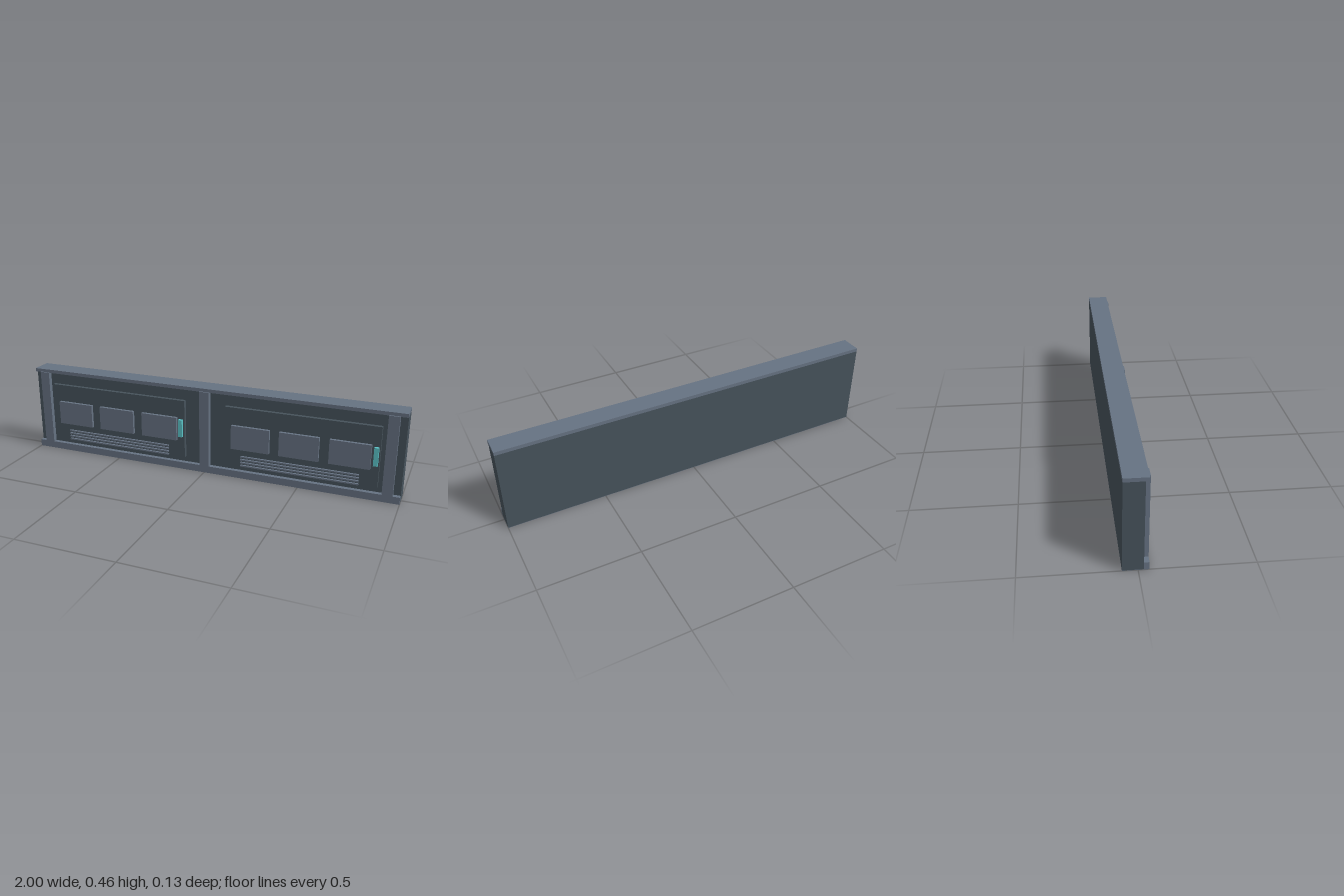
import * as THREE from 'three';

export function createModel() {
  const root = new THREE.Group();
  root.name = 'wallPanelUnit';

  const mat = (name, color) => {
    const m = new THREE.MeshStandardMaterial({ color });
    m.name = name;
    return m;
  };
  const dark = mat('darkSlate', 0x46525b);
  const light = mat('lightSlate', 0x667282);
  const teal = mat('teal', 0x5cc4c8);

  // Box given by its minimum and maximum on each axis
  const box = (parent, name, material, [x0, x1], [y0, y1], [z0, z1]) => {
    const mesh = new THREE.Mesh(new THREE.BoxGeometry(x1 - x0, y1 - y0, z1 - z0), material);
    mesh.position.set((x0 + x1) / 2, (y0 + y1) / 2, (z0 + z1) / 2);
    mesh.name = name;
    parent.add(mesh);
    return mesh;
  };

  const back = -0.067;

  // Wall slab with cap and base rail
  box(root, 'wallBody', dark, [-1, 1], [0.002, 0.437], [back, 0.024]);
  box(root, 'topCap', light, [-1, 1], [0.437, 0.455], [back, 0.04]);
  box(root, 'basePlate', light, [-1, 1], [0, 0.002], [back, 0.024]);
  box(root, 'baseRail', light, [-1, 1], [0, 0.037], [0.024, 0.047]);

  // Upright ribs on the front
  for (const x of [-0.939, 0, 0.939]) {
    box(root, 'frontRib', light, [x - 0.026, x + 0.026], [0.037, 0.439], [0.024, 0.0475]);
  }

  // Two identical equipment bays
  for (const cx of [-0.5, 0.5]) {
    const bay = new THREE.Group();
    bay.name = 'bay';
    bay.position.x = cx;
    root.add(bay);

    box(bay, 'bayPanel', dark, [-0.39, 0.39], [0.067, 0.377], [0.024, 0.044]);

    // Raised plates
    for (const x of [-0.25, 0, 0.25]) {
      box(bay, 'raisedPlate', light, [x - 0.1, x + 0.1], [0.161, 0.286], [0.044, 0.06]);
    }

    // Vent slats
    for (let i = 0; i < 4; i++) {
      const y = 0.073 + i * 0.016;
      box(bay, 'ventSlat', light, [-0.3, 0.3], [y - 0.0035, y + 0.0035], [0.044, 0.055]);
    }

    // Handle with its two short mounts
    box(bay, 'handle', teal, [0.363, 0.385], [0.186, 0.279], [0.051, 0.067]);
    for (const y of [0.2, 0.265]) {
      box(bay, 'handleMount', dark, [0.37, 0.378], [y - 0.004, y + 0.004], [0.044, 0.051]);
    }
  }

  return root;
}
